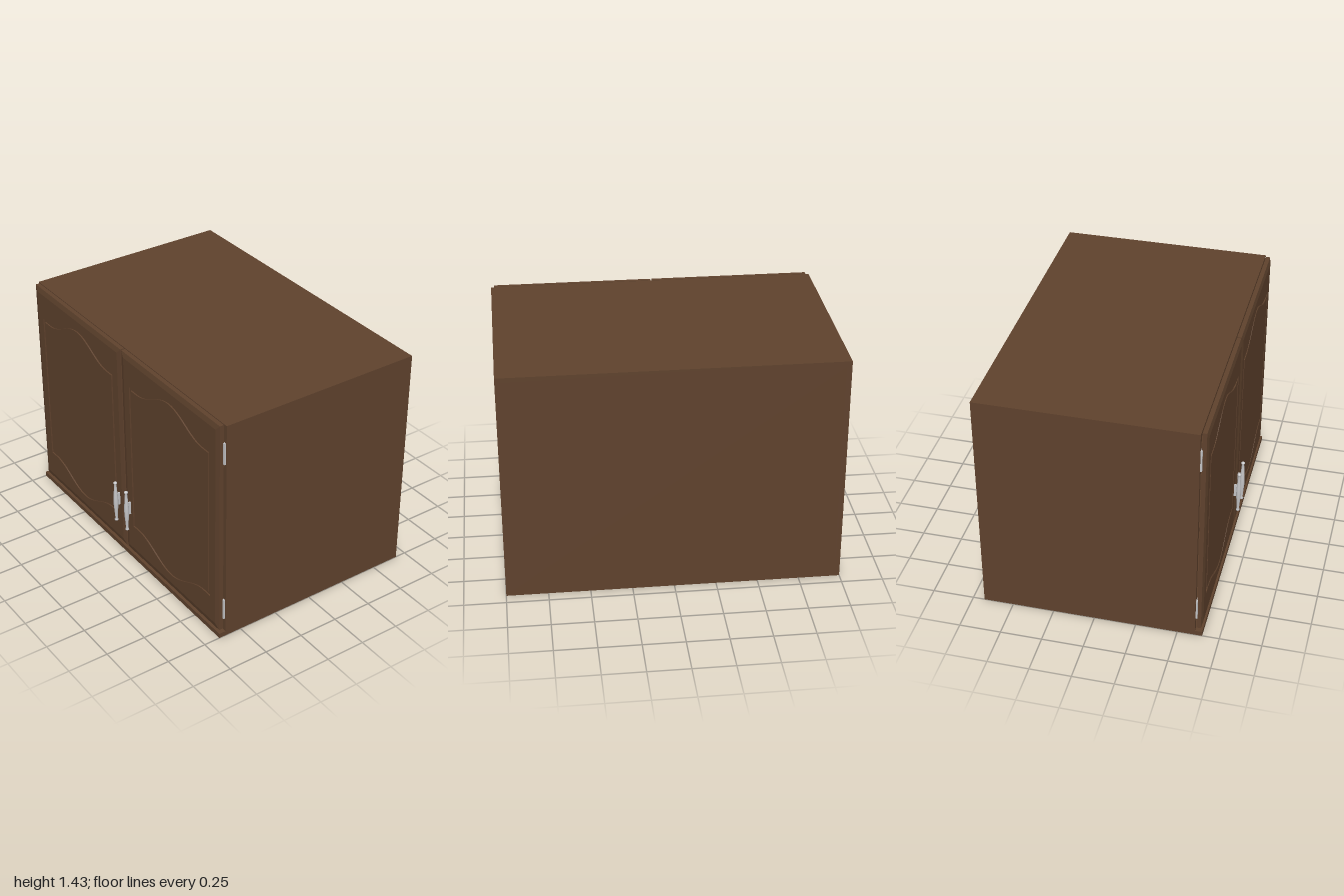
import * as THREE from 'three';

export function createModel() {
  const model = new THREE.Group();
  model.name = 'wallCabinet';
  const wood = new THREE.MeshStandardMaterial({ color: 0x5f422d });
  wood.name = 'brown wood';
  const metal = new THREE.MeshStandardMaterial({ color: 0xc4c4c6 });
  metal.name = 'pale metal';

  const add = (parent, name, geometry, material) => {
    const mesh = new THREE.Mesh(geometry, material);
    mesh.name = name;
    parent.add(mesh);
    return mesh;
  };
  // Box given by its lower and upper limits on each axis
  const box = (parent, name, x0, x1, y0, y1, z0, z1, material = wood) => {
    const mesh = add(parent, name, new THREE.BoxGeometry(x1 - x0, y1 - y0, z1 - z0), material);
    mesh.position.set((x0 + x1) / 2, (y0 + y1) / 2, (z0 + z1) / 2);
    return mesh;
  };

  // Carcass: panels round an open side that faces -x
  const T = 0.03, H = 1.43, open = -0.605, back = 0.68;
  box(model, 'bottomPanel', -0.648, back, 0, T, -1, 1);
  box(model, 'topPanel', open, back, H - T, H, -1 + T, 1 - T);
  box(model, 'backPanel', back - T, back, T, H - T, -1 + T, 1 - T);
  box(model, 'shelf', open + 0.01, back - T, 0.7, 0.73, -1 + T, 1 - T);
  for (const s of [-1, 1]) {
    const inner = s * (1 - T);
    box(model, 'sidePanel', open, back, T, H, Math.min(s, inner), Math.max(s, inner));
  }

  // Cathedral outline of the door panel, shrunk by d
  const doorBottom = 0.04, midY = (doorBottom + H) / 2;
  const outline = (d) => {
    const points = [], n = 28, half = 0.405 - d;
    for (const side of [1, -1]) {
      for (let i = 0; i <= n; i++) {
        const t = 1 - (2 * i) / n;
        const bump = 0.5 * (1 + Math.cos(Math.PI * Math.min(1, Math.abs(t) / 0.85)));
        points.push(new THREE.Vector2(side * t * half, side * (0.495 + 0.11 * bump - d)));
      }
    }
    return points;
  };

  // Front layer of a door: extruded toward -x
  const relief = 0.008, halfDoor = 0.488, halfHeight = (H - doorBottom) / 2;
  const extrude = (shape) => new THREE.ExtrudeGeometry(shape, { depth: relief, bevelEnabled: false });

  const frameGeometry = () => {
    const shape = new THREE.Shape([
      new THREE.Vector2(-halfDoor, -halfHeight), new THREE.Vector2(halfDoor, -halfHeight),
      new THREE.Vector2(halfDoor, halfHeight), new THREE.Vector2(-halfDoor, halfHeight),
    ]);
    shape.holes.push(new THREE.Path(outline(0)));
    const geometry = extrude(shape);
    // Chamfer: pull the outer front corners inward
    const p = geometry.attributes.position;
    for (let i = 0; i < p.count; i++) {
      if (p.getZ(i) > relief / 2 && Math.abs(p.getX(i)) > halfDoor - 0.01) {
        p.setX(i, p.getX(i) - Math.sign(p.getX(i)) * 0.03);
        p.setY(i, p.getY(i) - Math.sign(p.getY(i)) * 0.033);
      }
    }
    geometry.computeVertexNormals();
    return geometry.rotateY(-Math.PI / 2);
  };

  // Handle: turned grip on a slim mount
  const gripProfile = [
    [0, -0.147], [0.005, -0.144], [0.012, -0.138], [0.012, -0.132], [0.007, -0.127],
    [0.009, -0.1], [0.011, -0.07], [0.014, -0.035], [0.015, 0], [0.014, 0.035],
    [0.011, 0.07], [0.009, 0.1], [0.007, 0.127], [0.012, 0.132], [0.012, 0.138],
    [0.005, 0.144], [0, 0.147],
  ].map(([r, y]) => new THREE.Vector2(r, y));

  for (const s of [-1, 1]) {
    const door = new THREE.Group();
    door.name = s < 0 ? 'doorBackSide' : 'doorFrontSide';
    door.position.set(0, midY, s * 0.493);
    model.add(door);

    box(door, 'doorSlab', -0.636, -0.61, -halfHeight, halfHeight, -halfDoor, halfDoor);
    add(door, 'doorFrame', frameGeometry(), wood).position.x = -0.636;
    const panel = extrude(new THREE.Shape(outline(0.018))).rotateY(-Math.PI / 2);
    add(door, 'doorPanel', panel, wood).position.x = -0.636;

    const handle = new THREE.Group();
    handle.name = 'handle';
    handle.position.set(-0.673, 0.352, s * 0.061);
    model.add(handle);
    add(handle, 'handleGrip', new THREE.LatheGeometry(gripProfile, 20), metal);
    box(handle, 'handleMount', 0, 0.03, -0.03, 0.055, -0.005, 0.005, metal);

    // Hinges in the gap at the outer edge of each door
    for (const y of [0.187, 1.25]) {
      box(model, 'hinge', -0.615, -0.604, y - 0.068, y + 0.068, s * 0.978 - 0.015, s * 0.978 + 0.015, metal);
    }
  }
  return model;
}
